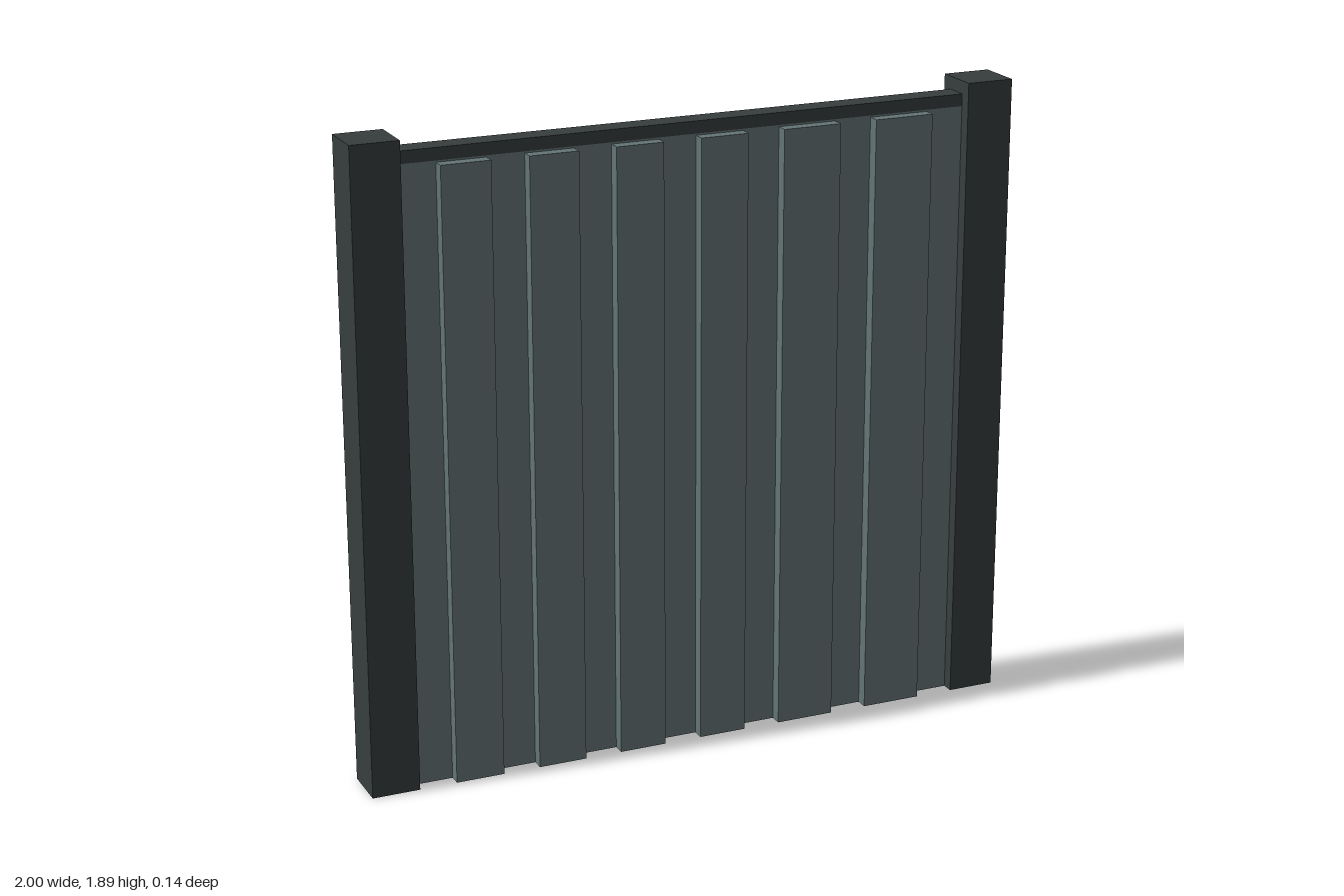
import * as THREE from 'three';

const slate = new THREE.MeshStandardMaterial({ color: 0x647476 });
slate.name = 'slate panel';
const charcoal = new THREE.MeshStandardMaterial({ color: 0x373d3d });
charcoal.name = 'charcoal frame';

const HALF_DEPTH = 0.0715; // posts and ribs
const CORE = 0.035;        // half thickness of the middle sheet
const INNER = 0.858;       // inner face of the posts
const RIB_TOP = 1.815;
const RAIL_TOP = 1.856;

export function createModel() {
  const group = new THREE.Group();
  group.name = 'fencePanel';

  // Box given by its two extreme corners
  const box = (name, material, [x0, y0, z0], [x1, y1, z1]) => {
    const mesh = new THREE.Mesh(new THREE.BoxGeometry(x1 - x0, y1 - y0, z1 - z0), material);
    mesh.position.set((x0 + x1) / 2, (y0 + y1) / 2, (z0 + z1) / 2);
    mesh.name = name;
    group.add(mesh);
  };

  // End posts
  box('rightPost', charcoal, [-1, 0, -HALF_DEPTH], [-INNER, 1.894, HALF_DEPTH]);
  box('leftPost', charcoal, [INNER, 0, -HALF_DEPTH], [1, 1.894, HALF_DEPTH]);

  // Middle sheet with the capping rail on top
  box('coreSheet', slate, [-INNER, 0, -CORE], [INNER, 1.82, CORE]);
  box('topRail', charcoal, [-INNER, 1.82, -CORE], [INNER, RAIL_TOP, CORE]);

  // Raised vertical ribs, staggered between the two sides
  const frontRibs = [[-0.747, -0.602], [-0.492, -0.347], [-0.237, -0.095],
    [0.018, 0.162], [0.273, 0.45], [0.562, 0.743]];
  const backRibs = [[-INNER, -0.677], [-0.6, -0.42], [-0.31, -0.132], [-0.02, 0.124],
    [0.235, 0.38], [0.49, 0.635], [0.745, INNER]];
  for (const [a, b] of frontRibs) box('frontRib', slate, [a, 0, CORE], [b, RIB_TOP, HALF_DEPTH]);
  for (const [a, b] of backRibs) box('backRib', slate, [a, 0, -HALF_DEPTH], [b, RIB_TOP, -CORE]);

  return group;
}
